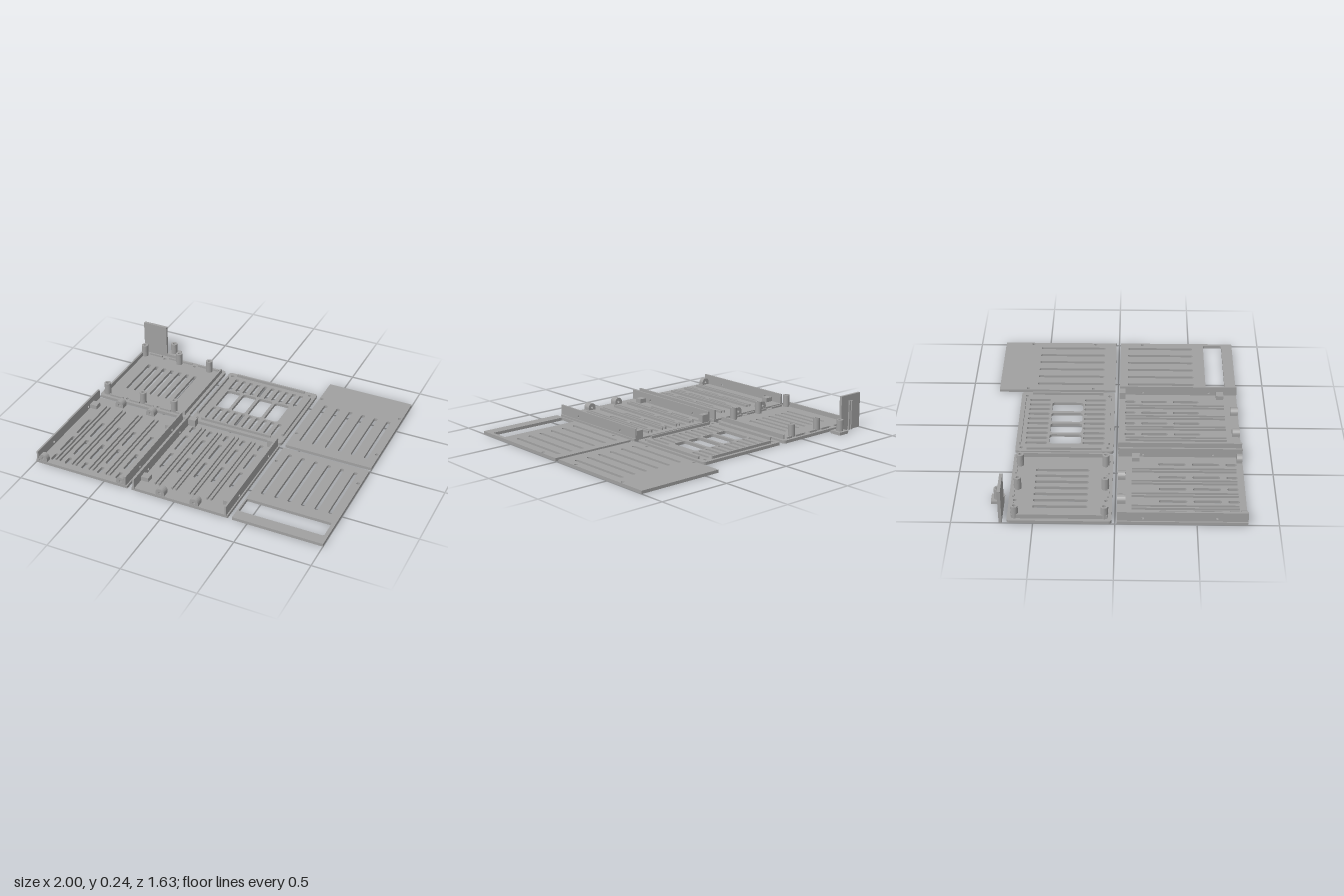
import * as THREE from 'three';

const grey = new THREE.MeshStandardMaterial({ color: 0xa0a0a0 });
grey.name = 'grey plastic';

// Rounded rectangle outline, used for plates, slots and windows
function outline(target, x0, z0, x1, z1, r) {
  target.moveTo(x0 + r, z0);
  target.lineTo(x1 - r, z0);
  if (r) target.absarc(x1 - r, z0 + r, r, -Math.PI / 2, 0);
  target.lineTo(x1, z1 - r);
  if (r) target.absarc(x1 - r, z1 - r, r, 0, Math.PI / 2);
  target.lineTo(x0 + r, z1);
  if (r) target.absarc(x0 + r, z1 - r, r, Math.PI / 2, Math.PI);
  target.lineTo(x0, z0 + r);
  if (r) target.absarc(x0 + r, z0 + r, r, Math.PI, Math.PI * 1.5);
  return target;
}
const opening = (x0, z0, x1, z1, r) => outline(new THREE.Path(), x0, z0, x1, z1, r);
const slot = (x, z0, z1, w = 0.025) => opening(x - w / 2, z0, x + w / 2, z1, w / 2 - 0.0005);
const round = (x, z, r) => new THREE.Path().absarc(x, z, r, 0, Math.PI * 2);
const extrude = (shape, depth) =>
  new THREE.ExtrudeGeometry(shape, { depth, bevelEnabled: false, curveSegments: 6 });

function add(group, name, geometry, x = 0, y = 0, z = 0) {
  const mesh = new THREE.Mesh(geometry, grey);
  mesh.name = name;
  mesh.position.set(x, y, z);
  group.add(mesh);
  return mesh;
}

// Box given by its limits
function block(group, name, x0, x1, y0, y1, z0, z1) {
  add(group, name, new THREE.BoxGeometry(x1 - x0, y1 - y0, Math.abs(z1 - z0)),
    (x0 + x1) / 2, (y0 + y1) / 2, (z0 + z1) / 2);
}

// Flat plate lying on the ground
function plate(group, name, x0, z0, x1, z1, r, holes, h = 0.02) {
  const shape = outline(new THREE.Shape(), x0, z0, x1, z1, r);
  shape.holes = holes;
  add(group, name, extrude(shape, h).rotateX(Math.PI / 2), 0, h, 0);
}

// Hollow screw post
function post(group, x, z, h, r = 0.023) {
  const pts = [[0.01, 0.02], [r, 0.02], [r, h], [0.01, h], [0.01, 0.02]].map(p => new THREE.Vector2(...p));
  const geo = new THREE.LatheGeometry(pts, 20).toNonIndexed();
  geo.computeVertexNormals();
  add(group, 'screwPost', geo, x, 0, z);
}

// Arched lug with a screw hole along z
function lug(group, x, zMid, depth, r = 0.03) {
  const s = new THREE.Shape();
  s.moveTo(x - r, 0.015);
  s.lineTo(x + r, 0.015);
  s.lineTo(x + r, 0.037);
  s.absarc(x, 0.037, r, 0, Math.PI);
  s.holes.push(round(x, 0.038, 0.009));
  add(group, 'screwLug', extrude(s, depth), 0, 0, zMid - depth / 2);
}

// Tray with side walls, card rails and vents; dir -1 turns it end for end
function tray(name, cx, dir, columns, rails) {
  const g = new THREE.Group();
  g.name = name;
  const cz = 0.41, Z = z => cz + dir * (z - cz);
  const span = (a, b) => [Math.min(Z(a), Z(b)), Math.max(Z(a), Z(b))];
  const holes = [];
  for (const x of columns)
    for (const [a, b] of [[0.27, 0.445], [0.485, 0.66], [0.7, 0.77]]) holes.push(slot(x, ...span(a, b)));
  plate(g, 'floor', cx - 0.335, 0.01, cx + 0.335, 0.81, 0, holes);

  // Side walls with screw holes
  for (const s of [-1, 1]) {
    const wall = outline(new THREE.Shape(), 0.012, 0.015, 0.812, 0.087, 0);
    wall.holes = [round(0.17, 0.04, 0.009), round(0.62, 0.04, 0.009)];
    add(g, 'sideWall', extrude(wall, 0.012).rotateY(-Math.PI / 2), cx + s * 0.32 + 0.006);
    const x0 = cx + s * 0.288;
    block(g, 'clip', x0 - 0.026, x0 + 0.026, 0.02, 0.05, ...span(0.1, 0.15));
    // Corner supports
    if (dir > 0) lug(g, cx + s * 0.285, Z(0.79), 0.035);
    else block(g, 'cornerSupport', x0 - 0.026, x0 + 0.026, 0.02, 0.07, ...span(0.77, 0.81));
  }
  // Paired card rails
  for (const x of rails)
    for (const s of [-1, 1])
      block(g, 'cardRail', x + s * 0.014 - 0.005, x + s * 0.014 + 0.005, 0.02, 0.036, ...span(0.1, 0.765));
  // Lugs on the open end
  for (const x of [cx - 0.135, cx + 0.102]) lug(g, x, Z(0.037), 0.05);
  return g;
}

// Rear wall panel with rim, posts and vents
function postPanel() {
  const g = new THREE.Group();
  g.name = 'postPanel';
  const holes = [-0.864, -0.803, -0.742, -0.681, -0.62, -0.56, -0.5].map(x => slot(x, -0.51, -0.17));
  for (const x of [-0.803, -0.563]) for (const z of [-0.622, -0.057]) holes.push(round(x, z, 0.011));
  plate(g, 'base', -1, -0.66, -0.33, -0.02, 0.02, holes);
  for (const z of [-0.635, -0.045])
    for (const [a, b] of [[-0.93, -0.83], [-0.775, -0.7], [-0.66, -0.59], [-0.54, -0.46], [-0.42, -0.38]])
      block(g, 'rim', a, b, 0.02, 0.032, z - 0.006, z + 0.006);
  for (const x of [-0.972, -0.358]) block(g, 'sideRim', x - 0.006, x + 0.006, 0.02, 0.05, -0.63, -0.045);
  for (const x of [-0.957, -0.681, -0.443]) for (const z of [-0.613, -0.065]) post(g, x, z, 0.104);
  return g;
}

// Panel with port windows and two rows of vents
function portPanel() {
  const g = new THREE.Group();
  g.name = 'portPanel';
  const holes = [];
  for (let i = 0; i < 10; i++) {
    const x = -0.21 + i * 0.0541;
    holes.push(slot(x, -0.6, -0.457), slot(x, -0.225, -0.08));
  }
  for (const x of [-0.166, -0.045, 0.076, 0.197]) holes.push(opening(x - 0.05, -0.445, x + 0.05, -0.235, 0.02));
  for (const x of [-0.262, 0.325]) for (const z of [-0.622, -0.057]) holes.push(round(x, z, 0.011));
  plate(g, 'base', -0.3, -0.66, 0.37, -0.02, 0.02, holes);
  for (const z of [-0.633, -0.052]) block(g, 'rim', -0.23, 0.28, 0.02, 0.038, z - 0.006, z + 0.006);
  for (const x of [-0.28, 0.345]) block(g, 'sideRim', x - 0.006, x + 0.006, 0.02, 0.038, -0.585, -0.1);
  return g;
}

// Flat vented covers
function covers() {
  const g = new THREE.Group();
  g.name = 'covers';
  const xs = [0.475, 0.566, 0.656, 0.747, 0.837, 0.928];
  const screws = zs => zs.flatMap(z => [0.417, 0.981].map(x => round(x, z, 0.011)));
  plate(g, 'rearCover', 0.4, -0.82, 1, -0.02, 0,
    [...xs.map(x => slot(x, -0.56, -0.1)), ...screws([-0.622, -0.172])]);
  plate(g, 'frontCover', 0.4, 0.012, 1, 0.812, 0,
    [...xs.map(x => slot(x, 0.065, 0.525)), ...screws([0.167]), opening(0.41, 0.605, 0.975, 0.737, 0.012)]);
  return g;
}

// Upright bracket with a screw foot
function bracket() {
  const g = new THREE.Group();
  g.name = 'bracket';
  block(g, 'upright', -1, -0.82, 0, 0.24, -0.707, -0.688);
  for (const x of [-0.915, -0.893]) block(g, 'uprightRib', x - 0.006, x + 0.006, 0, 0.2, -0.718, -0.707);
  plate(g, 'foot', -0.822, -0.77, -0.74, -0.688, 0, [round(-0.781, -0.73, 0.01)]);
  post(g, -0.781, -0.73, 0.095);
  return g;
}

export function createModel() {
  const model = new THREE.Group();
  model.name = 'enclosureParts';
  model.add(
    postPanel(), portPanel(), covers(), bracket(),
    tray('leftTray', -0.665, 1, [-0.905, -0.803, -0.681, -0.563, -0.43], [-0.866, -0.745, -0.62, -0.498]),
    tray('middleTray', 0.035, -1, [-0.23, -0.105, 0.016, 0.137, 0.265], [-0.165, -0.045, 0.078, 0.199]),
  );
  return model;
}
